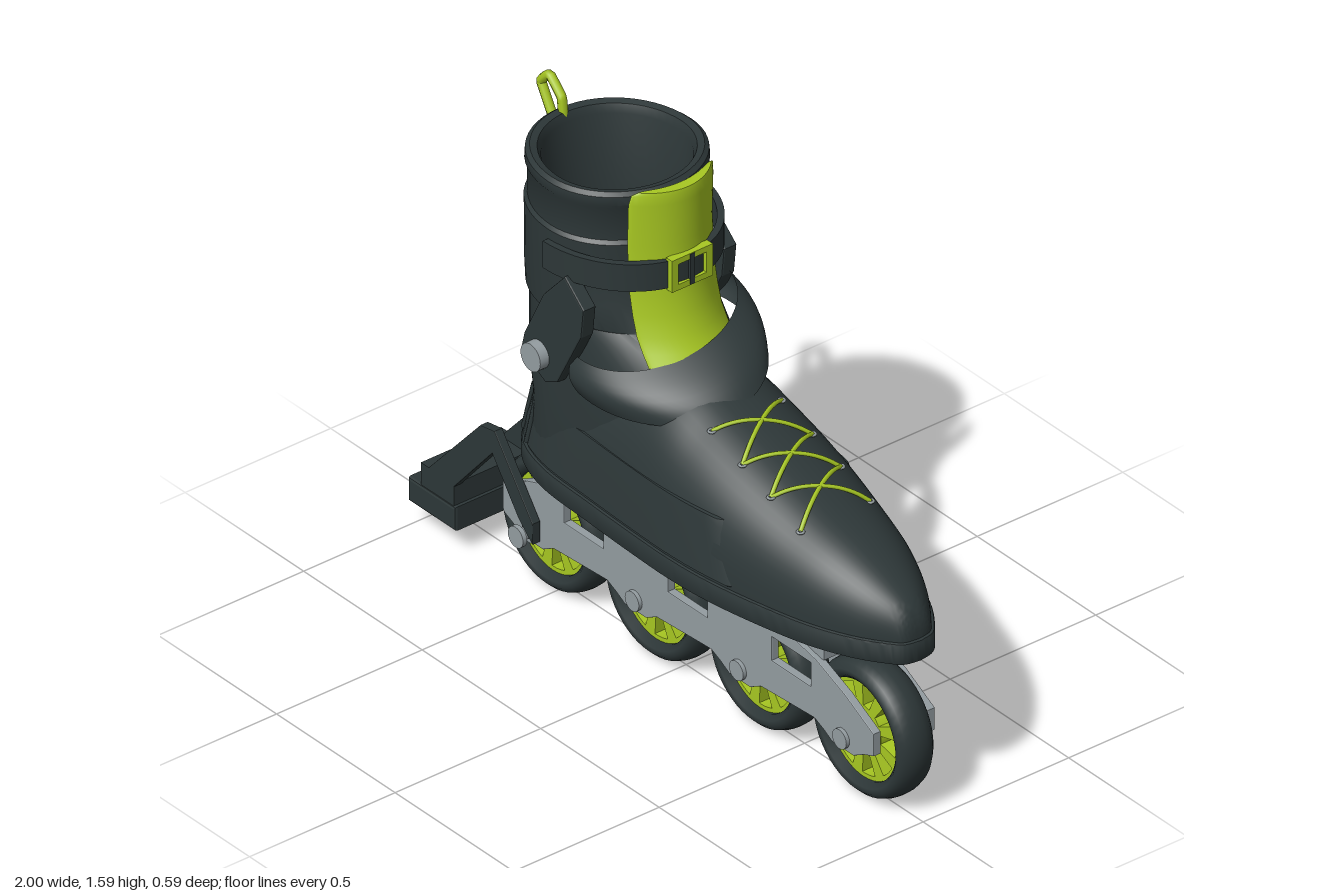
import * as THREE from 'three';
import { toCreasedNormals } from 'three/addons/utils/BufferGeometryUtils.js';

const V = (x, y, z) => new THREE.Vector3(x, y, z);
const lerp = THREE.MathUtils.lerp;

// grid surface from a rule fn(u, v); its outside is du x dv
function loft(nu, nv, fn, crease = 0.7) {
  const pos = [], idx = [];
  for (let j = 0; j <= nv; j++) for (let i = 0; i <= nu; i++) pos.push(...fn(i / nu, j / nv, j));
  for (let j = 0; j < nv; j++) for (let i = 0; i < nu; i++) {
    const a = j * (nu + 1) + i, d = a + nu + 1;
    idx.push(a, a + 1, d, a + 1, d + 1, d);
  }
  const g = new THREE.BufferGeometry();
  g.setAttribute('position', new THREE.Float32BufferAttribute(pos, 3));
  g.setIndex(idx);
  return toCreasedNormals(g, crease);
}
const polygon = pts => new THREE.Shape(pts.map(p => new THREE.Vector2(...p)));
// plate in the xy plane, centred on z = 0
function plate(shape, depth, bevel = 0) {
  const g = new THREE.ExtrudeGeometry(shape, { depth: depth - 2 * bevel, bevelEnabled: bevel > 0,
    bevelSize: bevel, bevelOffset: -bevel, bevelThickness: bevel, bevelSegments: 2, curveSegments: 24 });
  return g.translate(0, 0, bevel - depth / 2);
}
const pin = (r, len) => new THREE.CylinderGeometry(r, r, len, 20).rotateX(Math.PI / 2);

// shoe sections: x, half width, top height
const BASE = 0.56, P = 0.85;
const SHOE = new THREE.CatmullRomCurve3([[-.55, 0, .56], [-.535, .07, .62], [-.5, .14, .7], [-.43, .2, .8],
  [-.3, .24, .9], [-.1, .252, .97], [.1, .26, .985], [.25, .262, .94], [.4, .252, .89], [.6, .217, .82],
  [.75, .178, .77], [.87, .125, .715], [.95, .07, .66], [.975, .045, .62], [.985, 0, .56]].map(p => V(...p))).getPoints(98);
function shoeAt(x) {
  let i = 1;
  while (i < SHOE.length - 1 && SHOE[i].x < x) i++;
  const a = SHOE[i - 1], b = SHOE[i];
  return a.clone().lerp(b, THREE.MathUtils.clamp((x - a.x) / (b.x - a.x), 0, 1));
}
function shoeTop(x, z) {
  const s = shoeAt(x), c = Math.pow(Math.abs(z) / s.y, 1 / P);
  return BASE + (s.z - BASE) * Math.pow(1 - c * c, P / 2);
}

export function createModel() {
  const model = new THREE.Group();
  const material = (name, color) => {
    const m = new THREE.MeshStandardMaterial({ color, side: THREE.DoubleSide });
    m.name = name;
    return m;
  };
  const dark = material('charcoal', 0x2d3738);
  const lime = material('lime', 0xa8c822);
  const grey = material('aluminium', 0x949da1);
  const add = (name, geo, mat, x = 0, y = 0, z = 0, parent = model) => {
    const m = new THREE.Mesh(geo, mat);
    m.name = name;
    m.position.set(x, y, z);
    parent.add(m);
    return m;
  };

  // wheels
  const axles = [-0.52, -0.085, 0.355, 0.79];
  const tyre = new THREE.LatheGeometry([[.15, -.045], [.165, -.058], [.18, -.06], [.195, -.045], [.203, -.022], [.205, 0],
    [.203, .022], [.195, .045], [.18, .06], [.165, .058], [.15, .045], [.15, -.045]].map(p => new THREE.Vector2(...p)), 48).rotateX(Math.PI / 2);
  const hubShape = new THREE.Shape().absarc(0, 0, 0.157, 0, Math.PI * 2);
  for (let i = 0; i < 9; i++) {
    const a = (i / 9) * Math.PI * 2, h = new THREE.Path();
    h.absarc(0, 0, 0.137, a - 0.2, a + 0.2, false);
    h.absarc(0, 0, 0.075, a + 0.17, a - 0.17, true);
    h.closePath();
    hubShape.holes.push(h);
  }
  const hub = plate(hubShape, 0.07);
  for (const x of axles) {
    const wheel = new THREE.Group();
    wheel.name = 'wheel';
    wheel.position.set(x, 0.205, 0);
    model.add(wheel);
    add('tyre', tyre, dark, 0, 0, 0, wheel);
    add('hub', hub, lime, 0, 0, 0, wheel);
    add('hubCore', pin(0.05, 0.15), lime, 0, 0, 0, wheel);
    add('axleBolt', pin(0.03, 0.235), grey, 0, 0, 0, wheel);
  }

  // frame rails with scalloped lower edge and windows
  const rail = [[-.645, .22], [-.645, .3], [-.54, .355], [-.42, .397], [-.28, .425], [-.1, .44], [.4, .44],
    [.54, .425], [.68, .395], [.8, .345], [.92, .28], [.92, .21]];
  for (const x of [...axles].reverse()) rail.push([x + .09, .195], [x + .045, .17], [x - .045, .17], [x - .08, .19], [x - .12, .208]);
  const railShape = polygon(rail);
  for (const x of [-0.385, 0.053, 0.49])
    railShape.holes.push(new THREE.Path([[x, .375], [x, .3], [x + .165, .3], [x + .165, .375]].map(p => new THREE.Vector2(...p))));
  for (const s of [1, -1]) add('frameRail', plate(railShape, 0.026, 0.003), grey, 0, 0, s * 0.093);
  for (const x of [-0.363, 0.625]) add('mountBlock', new THREE.BoxGeometry(0.135, 0.12, 0.18), grey, x, 0.455, 0);

  // heel brake
  const arm = plate(polygon([[-.92, .2], [-.92, .22], [-.7, .465], [-.64, .475], [-.48, .26], [-.48, .195], [-.54, .25], [-.65, .4], [-.81, .215], [-.81, .2]]), 0.028, 0.003);
  for (const s of [1, -1]) {
    add('brakeArm', arm, dark, 0, 0, s * 0.124);
    add('brakeBolt', pin(0.018, 0.08), grey, -0.52, 0.21, s * 0.115);
    add('brakeBoltHead', pin(0.032, 0.014), grey, -0.52, 0.21, s * 0.156);
  }
  add('brakeHolder', new THREE.BoxGeometry(0.14, 0.075, 0.276), dark, -0.88, 0.185, 0);
  add('brakePad', plate(polygon([[-.1, -.0375], [.1, -.0375], [.1, .0375], [-.1, .0375]]), 0.285, 0.008), dark, -0.9, 0.117, 0);

  // sole
  const outline = [...SHOE.map(p => [p.x, p.y]), ...SHOE.slice(1, -1).reverse().map(p => [p.x, -p.y])];
  const sole = new THREE.ExtrudeGeometry(polygon(outline), { depth: 0.05, bevelSize: 0.009, bevelThickness: 0.009, bevelSegments: 2 });
  add('sole', toCreasedNormals(sole.rotateX(Math.PI / 2), 0.6), dark, 0, 0.564, 0);

  // shoe body
  add('shoe', loft(98, 28, (u, v) => {
    const s = SHOE[Math.round(u * 98)], a = v * Math.PI, c = Math.cos(a);
    return [s.x, BASE + (s.z - BASE) * Math.pow(Math.max(0, Math.sin(a)), P), Math.sign(c) * s.y * Math.pow(Math.abs(c), P)];
  }, 1.2), dark);

  // ankle shaft with cuff, rim and hollow inside: y, back x, front x, half width
  const rings = [[.56, -.53, .15, .23], [.62, -.53, .18, .235], [.75, -.498, .21, .238], [.85, -.525, .2, .238], [.92, -.53, .17, .237],
    [.98, -.53, .12, .236], [1.04, -.53, .05, .236], [1.075, -.53, 0, .236], [1.08, -.545, -.005, .243], [1.15, -.55, -.04, .245],
    [1.25, -.55, -.05, .246], [1.34, -.55, -.05, .247], [1.35, -.54, -.06, .238], [1.45, -.54, -.06, .238], [1.465, -.545, -.05, .248],
    [1.49, -.543, -.053, .246], [1.5, -.53, -.065, .234], [1.495, -.51, -.085, .214], [1.47, -.5, -.095, .204], [1.2, -.49, -.1, .2], [.8, -.47, -.06, .19], [.8, -.28, -.28, 0]];
  const XC = -0.28;
  const arcPoint = (a, xb, xf, rz) => [XC + Math.cos(a) * (Math.cos(a) > 0 ? xf - XC : XC - xb), -Math.sin(a) * rz];
  add('shaft', loft(56, rings.length - 1, (u, v, j) => {
    const [y, xb, xf, rz] = rings[j], [x, z] = arcPoint(u * Math.PI * 2, xb, xf, rz);
    return [x, y, z];
  }), dark);

  // raised panel wrapping the heel and sides: y, scale
  const rows = [[.575, .96], [.585, 1.025], [.735, .95], [.755, .935], [.76, .84]];
  const panelPoint = (s, y, k) => {
    const f = (y - .575) / .185, t = s * s;
    const z = shoeAt(lerp(-.55, .525, t)).y * k * Math.sign(s);
    return [lerp(lerp(-.552, -.505, f), lerp(.53, .45, f), t), y, Math.abs(s) > 0.999 ? z * 0.88 : z];
  };
  add('sidePanel', loft(80, rows.length - 1, (u, v, j) => panelPoint(u * 2 - 1, ...rows[j])), dark);
  for (const s of [-0.36, -0.27, 0.27, 0.36])
    add('heelRib', new THREE.TubeGeometry(new THREE.LineCurve3(V(...panelPoint(s, .59, 1.02)), V(...panelPoint(s, .74, .95))), 1, 0.009, 6), dark);

  // slanted instep strap
  add('instepStrap', loft(40, 8, (u, v) => {
    const a = lerp(-1.75, 1.75, u), b = Math.sin(v * Math.PI) * 0.022;
    return [lerp(-.1, -.15, v) + (lerp(.335, .225, v) + b) * Math.cos(a), lerp(.935, 1.045, v) + 0.06 * Math.sin(a),
      -(lerp(.243, .236, v) + b) * Math.sin(a)];
  }), dark);

  // tongue: y, centre x, size
  const tongueRows = [[1.0, .085, 1], [1.04, .055, 1], [1.08, .03, 1], [1.14, .012, 1], [1.2, 0, 1], [1.35, -.01, 1], [1.48, -.006, 1], [1.51, -.005, .96], [1.52, -.005, .85], [1.52, -.005, 0]];
  add('tongue', loft(40, tongueRows.length - 1, (u, v, j) => {
    const a = u * Math.PI * 2, [y, xc, k] = tongueRows[j], c = Math.cos(a) * k;
    return [xc - 0.06 * c * c + 0.018 * k * Math.sin(a), y, 0.145 * c];
  }), lime);

  // cuff strap and buckle
  const strapSection = [[1.225, 0], [1.225, .02], [1.31, .02], [1.31, 0], [1.225, 0]];
  add('cuffStrap', loft(40, 4, (u, v, j) => {
    const [y, o] = strapSection[j], [x, z] = arcPoint(lerp(-1.57, 1.57, u), 0, o, .245 + o);
    return [x, y, z];
  }), dark);
  const buckle = polygon([[-.07, -.05], [.07, -.05], [.07, .05], [-.07, .05]]);
  buckle.holes.push(new THREE.Path([[-.048, -.032], [-.048, .032], [.048, .032], [.048, -.032]].map(p => new THREE.Vector2(...p))));
  add('buckleFrame', plate(buckle, 0.025).rotateY(Math.PI / 2), lime, 0.014, 1.268, 0);
  add('bucklePin', new THREE.BoxGeometry(0.02, 0.096, 0.016), dark, 0.018, 1.268, 0);

  // ankle pivots
  const pivot = plate(polygon([[-.28, 1.14], [-.19, 1.24], [-.11, 1.17], [-.12, 1.08], [-.22, .89], [-.27, .865], [-.375, .92], [-.36, .98]]), 0.045, 0.005);
  for (const s of [1, -1]) {
    add('pivotPlate', pivot, dark, 0, 0, s * 0.242);
    add('pivotBolt', pin(0.042, 0.05), grey, -0.295, 0.945, s * 0.27);
  }

  // laces and eyelets
  const laceX = [0.255, 0.385, 0.505, 0.63];
  laceX.forEach((x, i) => {
    for (const s of [1, -1]) {
      add('eyelet', new THREE.TorusGeometry(0.009, 0.004, 6, 12).rotateX(Math.PI / 2), grey, x, shoeTop(x, .12) + 0.004, s * 0.12);
      if (i === 3) continue;
      const pts = [];
      for (let k = 0; k <= 8; k++) {
        const t = k / 8, lx = lerp(x, laceX[i + 1], t), z = s * lerp(.12, -.12, t);
        pts.push(V(lx, shoeTop(lx, z) + 0.004 + 0.014 * Math.sin(t * Math.PI), z));
      }
      add('lace', new THREE.TubeGeometry(new THREE.CatmullRomCurve3(pts), 20, 0.0065, 6), lime);
    }
  });

  // heel pull loop
  const loop = [[-.54, 1.42], [-.612, 1.545], [-.575, 1.583], [-.525, 1.535], [-.518, 1.47]].map(p => V(p[0], p[1], 0));
  add('pullLoop', new THREE.TubeGeometry(new THREE.CatmullRomCurve3(loop, true, 'catmullrom', 0.1), 50, 0.014, 8, true), lime);
  return model;
}
